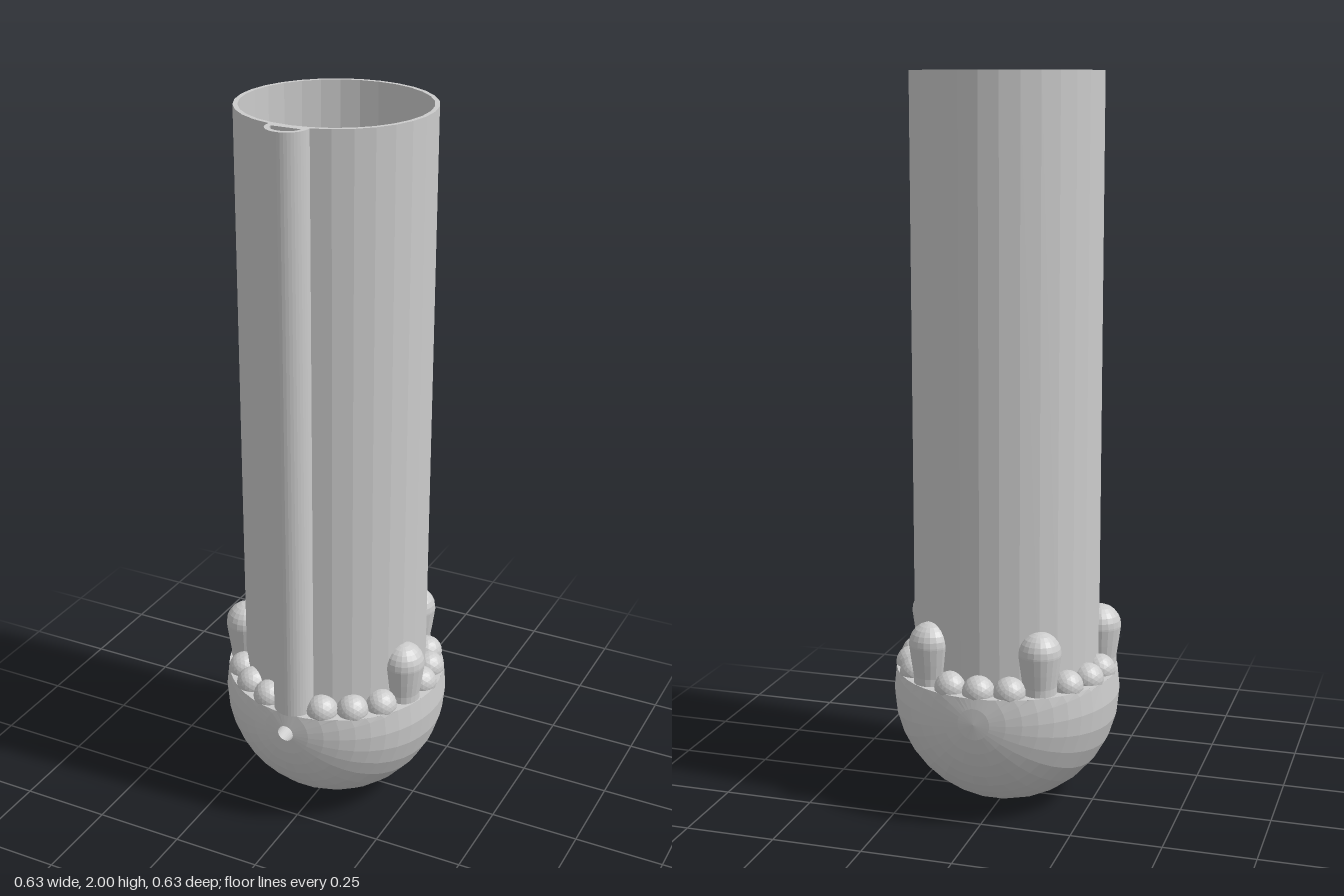
import * as THREE from 'three';

const RIM = 0.38;                            // height of the cup's flat rim
const CUP = { r: 0.315, y: 0.315, hole: 0.023, dir: 0.016 };
const CAVITY = { r: 0.205, y: RIM, hole: 0.034, dir: -0.297 };
const TUBE_R = 0.257, TUBE_IN = 0.245, SIDES = 30;

const grey = new THREE.MeshStandardMaterial({ color: 0xcccccc, flatShading: true, side: THREE.DoubleSide });

function add(parent, name, geometry) {
  const mesh = new THREE.Mesh(geometry, grey);
  mesh.name = name;
  parent.add(mesh);
  return mesh;
}

// Sphere with a round opening towards the front, trimmed flat at the rim height
function bowl({ r, y, hole, dir }) {
  const start = Math.asin(hole / r);
  const g = new THREE.SphereGeometry(r, 30, 22, 0, Math.PI * 2, start, Math.PI - start);
  g.rotateX(Math.PI / 2 - dir).translate(0, y, 0);
  const p = g.attributes.position;
  const rimR = Math.sqrt(r * r - (RIM - y) ** 2);
  const onRim = [];
  for (let i = 0; i < p.count; i++) {
    onRim[i] = p.getY(i) > RIM - 0.008;
    if (!onRim[i]) continue;
    const a = Math.atan2(p.getZ(i), p.getX(i));
    p.setXYZ(i, rimR * Math.cos(a), RIM, rimR * Math.sin(a));
  }
  const kept = [];
  for (let i = 0; i < g.index.count; i += 3) {
    const tri = [0, 1, 2].map(k => g.index.getX(i + k));
    if (!tri.every(v => onRim[v])) kept.push(...tri);
  }
  g.setIndex(kept);
  g.computeVertexNormals();
  return g;
}

// Point on the round opening of a bowl
function holePoint({ r, y, hole, dir }, angle) {
  return new THREE.Vector3(hole * Math.cos(angle), hole * Math.sin(angle), Math.sqrt(r * r - hole * hole))
    .applyAxisAngle(new THREE.Vector3(1, 0, 0), -dir)
    .add(new THREE.Vector3(0, y, 0));
}

// Keep a bead from poking through the tube wall into the inside
function keepOutside(g) {
  const p = g.attributes.position;
  for (let i = 0; i < p.count; i++) {
    const d = Math.hypot(p.getX(i), p.getZ(i));
    if (d < 0.249) p.setXYZ(i, p.getX(i) * 0.249 / d, p.getY(i), p.getZ(i) * 0.249 / d);
  }
  g.computeVertexNormals();
  return g;
}

export function createModel() {
  const model = new THREE.Group();
  model.name = 'beadedTubeHolder';

  // Rounded cup and its inner cavity
  add(model, 'cupOuter', bowl(CUP));
  add(model, 'cupCavity', bowl(CAVITY));

  // Flat rim and inner ledge, with the opening of the vertical bore
  const rimR = Math.sqrt(CUP.r ** 2 - (RIM - CUP.y) ** 2);
  const rim = new THREE.Shape().absarc(0, 0, rimR, 0, Math.PI * 2);
  rim.holes.push(
    new THREE.Path().absarc(0, 0, CAVITY.r, 0, Math.PI * 2, true),
    new THREE.Path().absellipse(0, -0.282, 0.02, 0.014, 0, Math.PI * 2, true));
  add(model, 'cupRim', new THREE.ShapeGeometry(rim, 24).rotateX(-Math.PI / 2).translate(0, RIM, 0));

  // Vertical bore down to the tapered cross bore
  add(model, 'verticalBore', new THREE.CylinderGeometry(1, 1, 0.05, 20, 1, true)
    .scale(0.02, 1, 0.014).translate(0, RIM - 0.025, 0.282));
  const bore = new THREE.CylinderGeometry(1, 1, 1, 30, 1, true);
  const p = bore.attributes.position;
  for (let i = 0; i < p.count; i++) {
    const end = p.getY(i) > 0 ? CUP : CAVITY;
    const q = holePoint(end, Math.atan2(p.getX(i), p.getZ(i)));
    p.setXYZ(i, q.x, q.y, q.z);
  }
  bore.computeVertexNormals();
  add(model, 'crossBore', bore);

  // Long open tube wall
  const wall = [[TUBE_R, RIM], [TUBE_R, 2], [TUBE_IN, 2], [TUBE_IN, RIM]];
  add(model, 'tube', new THREE.LatheGeometry(wall.map(w => new THREE.Vector2(...w)), SIDES));

  // Hollow channel running up the front
  const outline = new THREE.Shape().moveTo(0.055, -0.25).lineTo(0.055, -0.26);
  outline.absarc(0, -0.26, 0.055, 0, -Math.PI, true).lineTo(-0.055, -0.25);
  outline.closePath();
  outline.holes.push(new THREE.Path().absellipse(0, -0.267, 0.04, 0.034, 0, -Math.PI, true).closePath());
  add(model, 'frontChannel', new THREE.ExtrudeGeometry(outline,
    { depth: 2 - RIM, bevelEnabled: false, curveSegments: 10 }).rotateX(-Math.PI / 2).translate(0, RIM, 0));

  // Ring of beads, every fourth one a tall round-headed prong; the channel takes the front place
  const beads = new THREE.Group();
  beads.name = 'beadRing';
  model.add(beads);
  const prong = [[0.046, 0.35], [0.046, 0.4], [0.052, 0.44], [0.058, 0.485]];
  for (let k = 0; k <= 6; k++) {
    const a = -k / 6 * Math.PI / 2;
    prong.push([0.058 * Math.cos(a), 0.49 - 0.058 * Math.sin(a)]);
  }
  prong[prong.length - 1][0] = 0;
  for (let i = 1; i < 20; i++) {
    const a = Math.PI / 2 + i * Math.PI / 10;
    const tall = i % 4 === 0;
    const r = tall ? 0.26 : 0.266;
    const g = tall
      ? new THREE.LatheGeometry(prong.map(v => new THREE.Vector2(...v)), 20)
      : new THREE.IcosahedronGeometry(0.044, 3).translate(0, 0.386, 0);
    g.translate(r * Math.cos(a), 0, r * Math.sin(a));
    add(beads, tall ? 'prong' : 'bead', keepOutside(g));
  }
  return model;
}
